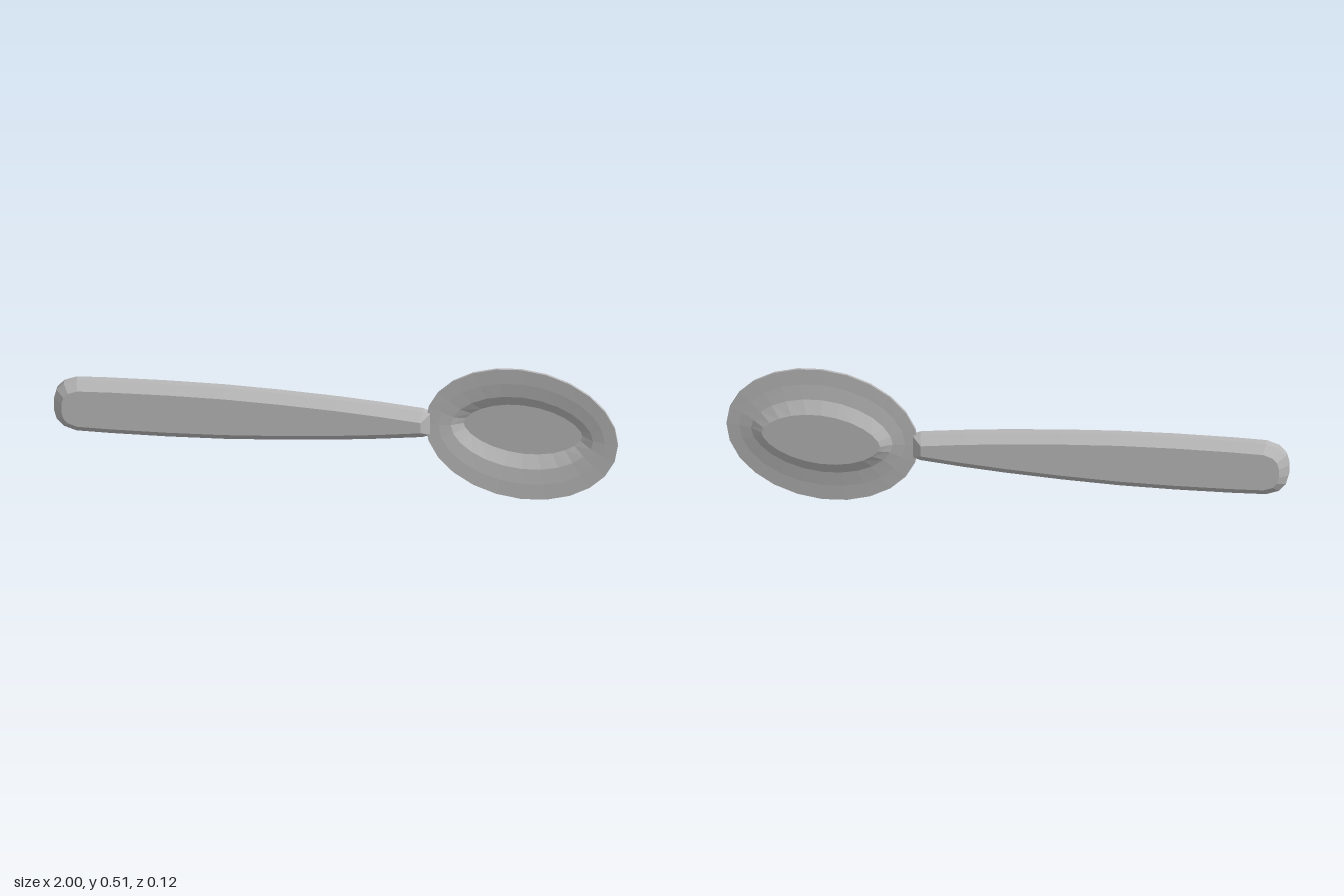
import * as THREE from 'three';

const steel = new THREE.MeshStandardMaterial({ color: 0xb8b8b8 });
steel.name = 'grey steel';

// Chamfered slab that tapers toward the bowl
function handle() {
  const mid = 0.26;
  const upper = [[0.325, 0.04], [0.3, 0.05], [0.15, 0.066], [0, 0.079], [-0.2, 0.092], [-0.4, 0.101],
    [-0.6, 0.104], [-0.8, 0.103], [-0.92, 0.1], [-0.965, 0.084], [-0.99, 0.056], [-1, 0.02]];
  const outline = [...upper, ...upper.map(([x, y]) => [x, -y]).reverse()];
  const shape = new THREE.Shape(outline.map(([x, y]) => new THREE.Vector2(x, y)));
  const geometry = new THREE.ExtrudeGeometry(shape, {
    depth: 0.028, bevelEnabled: true, bevelSegments: 1,
    bevelSize: 0.03, bevelOffset: -0.03, bevelThickness: 0.029, steps: 1,
  });
  geometry.translate(0, 0, -0.014);
  const mesh = new THREE.Mesh(geometry, steel);
  mesh.name = 'handle';
  mesh.rotation.y = 0.0195;
  mesh.position.set(0, mid, -0.012);
  return mesh;
}

// Flared dish with a lens-shaped flat floor, lofted from the inside round to the outside
function bowl() {
  const sides = 24;
  // half width, half height, offset from the rim plane, pointedness of the ends
  const inner = [
    [0, 0, -0.038, 1],
    [0.213, 0.096, -0.038, 1.2],
    [0.255, 0.142, -0.01, 1.1],
    [0.298, 0.198, -0.003, 1],
    [0.345, 0.256, 0, 1],
  ];
  const outer = inner.map(([w, h, z, p]) => [w, h, z - 0.01, p]).reverse();
  const rings = [...inner, ...outer];
  const positions = [], index = [];
  for (const [w, h, z, p] of rings) {
    for (let i = 0; i < sides; i++) {
      const a = (i / sides) * Math.PI * 2, s = Math.sin(a);
      const x = w * Math.cos(a);
      positions.push(x, h * Math.sign(s) * Math.abs(s) ** p, z + 0.1 * x);
    }
  }
  for (let r = 0; r < rings.length - 1; r++) {
    for (let i = 0; i < sides; i++) {
      const a = r * sides + i, b = r * sides + (i + 1) % sides;
      const c = a + sides, d = b + sides;
      if (r < rings.length - 2) index.push(a, c, d);
      if (r > 0) index.push(a, d, b);
    }
  }
  const indexed = new THREE.BufferGeometry();
  indexed.setAttribute('position', new THREE.Float32BufferAttribute(positions, 3));
  indexed.setIndex(index);
  const geometry = indexed.toNonIndexed();
  geometry.computeVertexNormals();
  const mesh = new THREE.Mesh(geometry, steel);
  mesh.name = 'bowl';
  mesh.position.set(0.653, 0.259, 0.022);
  return mesh;
}

export function createModel() {
  const spoon = new THREE.Group();
  spoon.name = 'spoon';
  spoon.add(handle(), bowl());
  return spoon;
}
